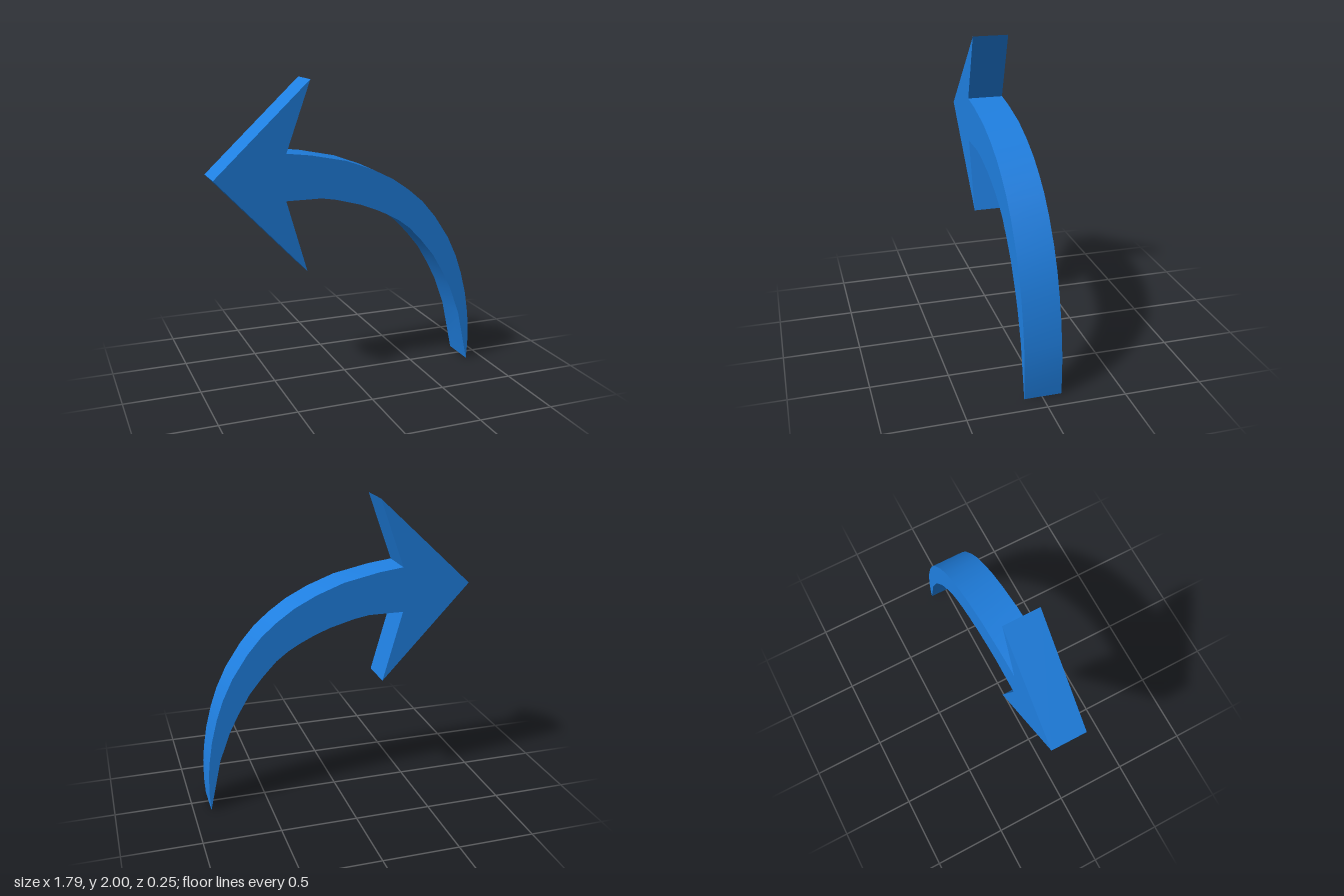
import * as THREE from 'three';
import { toCreasedNormals } from 'three/addons/utils/BufferGeometryUtils.js';

const DEPTH = 0.238;
const LEAN = 0.005; // slight backward-forward lean along the height

// Arrow head: upper barb, tip, lower barb
const head = [[-0.27, 2.0], [-0.895, 1.41], [-0.3, 0.78]];

// Underside of the curved tail, from the head down to the point
const innerCurve = [
  [-0.435, 1.25], [-0.2, 1.25], [-0.1, 1.233], [0.07, 1.187], [0.18, 1.143], [0.26, 1.105],
  [0.34, 1.06], [0.42, 1.0], [0.51, 0.905], [0.6, 0.795], [0.68, 0.66], [0.74, 0.54], [0.81, 0.35],
];

// Upper side of the curved tail, from the point back up to the head
const outerCurve = [
  [0.885, 0], [0.892, 0.11], [0.89, 0.25], [0.88, 0.35], [0.858, 0.49], [0.82, 0.64], [0.775, 0.77],
  [0.708, 0.91], [0.605, 1.065], [0.51, 1.175], [0.41, 1.26], [0.295, 1.34], [0.15, 1.413],
  [-0.03, 1.48], [-0.27, 1.53], [-0.43, 1.55],
];

export function createModel() {
  const group = new THREE.Group();
  group.name = 'curvedArrow';

  const outline = [...head, ...innerCurve, ...outerCurve].map(([x, y]) => new THREE.Vector2(x, y));
  const geometry = new THREE.ExtrudeGeometry(new THREE.Shape(outline), { depth: DEPTH, bevelEnabled: false });
  geometry.translate(0, 0, -DEPTH / 2);

  // Lean the plate a little
  const pos = geometry.attributes.position;
  for (let i = 0; i < pos.count; i++) pos.setZ(i, pos.getZ(i) + LEAN * (pos.getY(i) - 1));

  // Smooth along the curves, sharp at the head and rims
  const arrow = new THREE.Mesh(
    toCreasedNormals(geometry, 0.4),
    new THREE.MeshStandardMaterial({ color: 0x1f7fe0 }),
  );
  arrow.name = 'arrow';
  group.add(arrow);
  return group;
}
